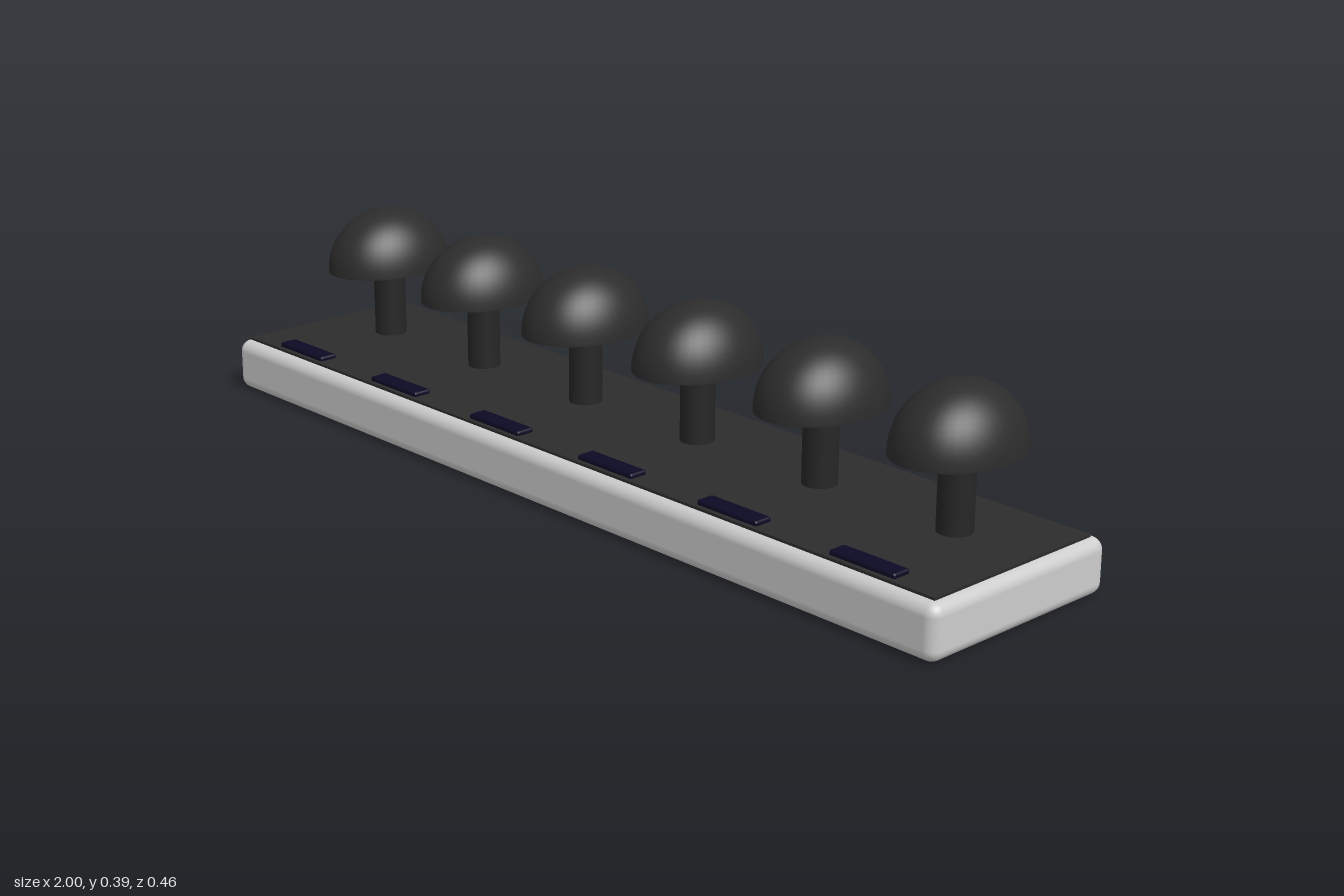
import * as THREE from 'three';
import { RoundedBoxGeometry } from 'three/addons/geometries/RoundedBoxGeometry.js';

const material = (name, color) => {
  const m = new THREE.MeshStandardMaterial({ color });
  m.name = name;
  return m;
};

export function createModel() {
  const lightGrey = material('light grey', 0xcccccc);
  const charcoal = material('charcoal', 0x2c2c2c);
  const darkCharcoal = material('dark charcoal', 0x262626);
  const navy = material('dark navy', 0x0c0a24);

  const model = new THREE.Group();
  model.name = 'domeStandRack';
  const add = (parent, name, geometry, mat, x, y, z) => {
    const mesh = new THREE.Mesh(geometry, mat);
    mesh.name = name;
    mesh.position.set(x, y, z);
    parent.add(mesh);
    return mesh;
  };

  // Rounded tray with a dark panel on top
  add(model, 'base', new RoundedBoxGeometry(2, 0.108, 0.462, 4, 0.024), lightGrey, 0, 0.054, 0);
  add(model, 'topPanel', new THREE.BoxGeometry(1.958, 0.006, 0.416), charcoal, 0, 0.11, 0);

  // Dome profile, closed underneath; stretched from front to back
  const profile = [new THREE.Vector2(0, 0), new THREE.Vector2(0.11, 0), new THREE.Vector2(0.11, 0)];
  for (let i = 0; i <= 16; i++) {
    const a = (i / 16) * Math.PI / 2;
    profile.push(new THREE.Vector2(i === 16 ? 0 : 0.11 * Math.cos(a), 0.004 + 0.125 * Math.sin(a)));
  }
  const cap = new THREE.LatheGeometry(profile.slice(3), 40);
  const underside = new THREE.CircleGeometry(0.11, 40).rotateX(Math.PI / 2);
  const rim = new THREE.CylinderGeometry(0.11, 0.11, 0.004, 40, 1, true);
  const stem = new THREE.CylinderGeometry(0.034, 0.034, 0.16, 32);
  const label = new RoundedBoxGeometry(0.15, 0.014, 0.04, 3, 0.005);

  // Six holders in a row, each with a label in front
  for (let i = 0; i < 6; i++) {
    const holder = new THREE.Group();
    holder.name = 'holder' + (i + 1);
    holder.position.x = (i - 2.5) * 0.323;
    model.add(holder);

    const head = new THREE.Group();
    head.name = 'head';
    head.position.set(0, 0.264, -0.046);
    head.scale.z = 1.285;
    holder.add(head);
    add(head, 'dome', cap, charcoal, 0, 0, 0);
    add(head, 'domeRim', rim, charcoal, 0, 0.002, 0);
    add(head, 'domeUnderside', underside, charcoal, 0, 0, 0);

    add(holder, 'stem', stem, darkCharcoal, 0, 0.19, -0.046);
    add(holder, 'label', label, navy, 0, 0.115, 0.178);
  }
  return model;
}
